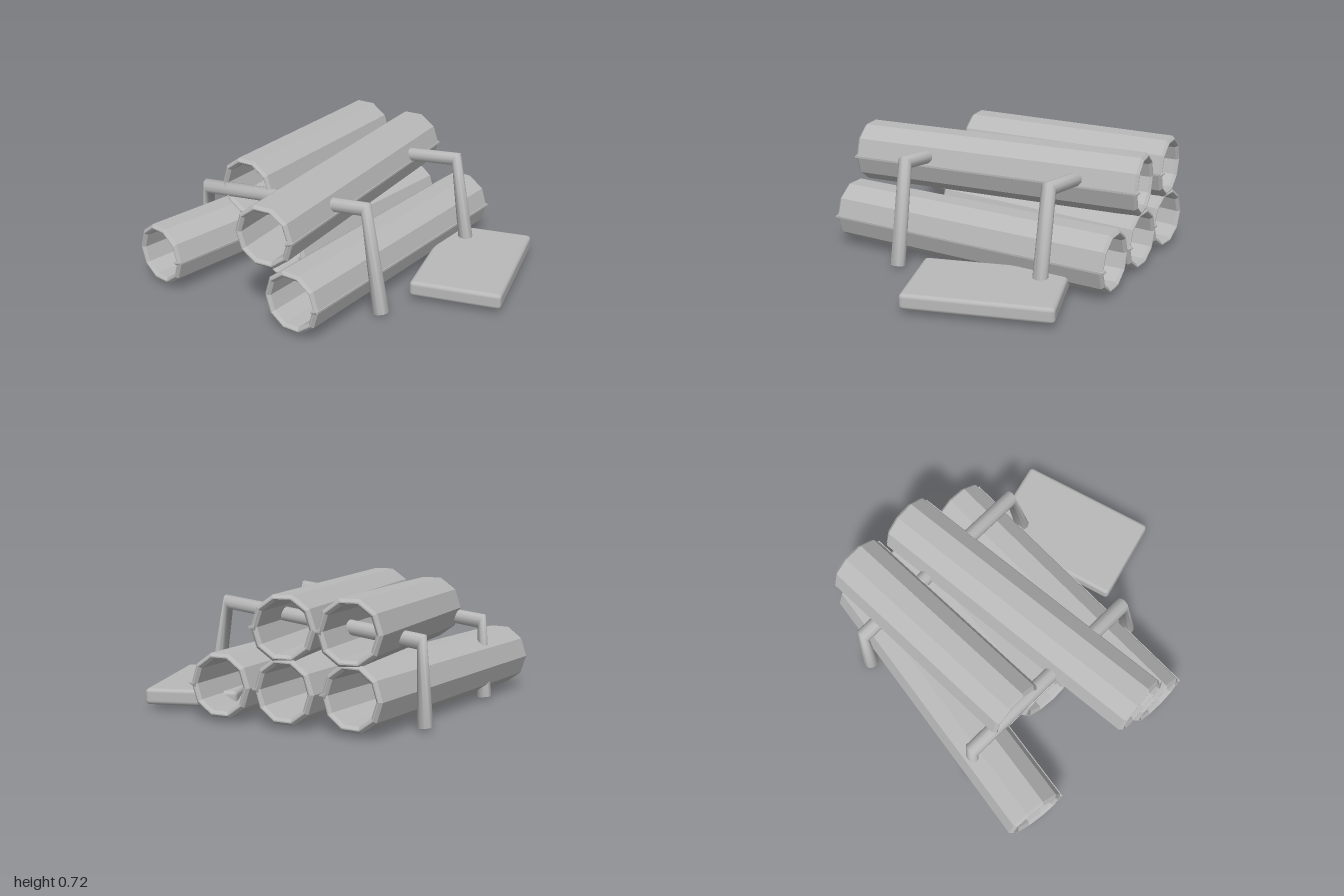
import * as THREE from 'three';
import { RoundedBoxGeometry } from 'three/addons/geometries/RoundedBoxGeometry.js';

const grey = new THREE.MeshStandardMaterial({ color: 0xb8b8b8 });
grey.name = 'plain grey';

const R = 0.187; // pipe outer radius
const INNER = 0.148;
const BEVEL = 0.016;

function addMesh(parent, name, geometry) {
  const mesh = new THREE.Mesh(geometry, grey);
  mesh.name = name;
  parent.add(mesh);
  return mesh;
}

// Ten-sided hollow pipe with bevelled rims and a raised seam on its +x side
function makePipe(name, y, front, back) {
  const pipe = new THREE.Group();
  pipe.name = name;
  const dx = front[0] - back[0], dz = front[1] - back[1];
  const length = Math.hypot(dx, dz), h = length / 2;
  const profile = [
    [INNER, -h + BEVEL], [INNER + BEVEL, -h], [R - BEVEL, -h], [R, -h + BEVEL],
    [R, h - BEVEL], [R - BEVEL, h], [INNER + BEVEL, h], [INNER, h - BEVEL], [INNER, -h + BEVEL],
  ].map(([r, t]) => new THREE.Vector2(r, t));
  const wall = new THREE.LatheGeometry(profile, 10, Math.PI / 2).toNonIndexed();
  wall.rotateX(Math.PI / 2);
  wall.computeVertexNormals();
  addMesh(pipe, 'pipeWall', wall);

  addMesh(pipe, 'pipeSeam', new THREE.BoxGeometry(0.016, 0.012, length)).position.x = R - 0.004;
  // Small pointed burrs where the seam meets each rim
  for (const end of [-1, 1]) {
    const burr = new THREE.ConeGeometry(0.018, 0.045, 4);
    burr.rotateZ(-Math.PI / 2);
    addMesh(pipe, 'seamBurr', burr).position.set(R - 0.01, 0, end * (h - 0.002));
  }
  pipe.position.set((front[0] + back[0]) / 2, y, (front[1] + back[1]) / 2);
  pipe.rotation.y = Math.atan2(dx, dz);
  return pipe;
}

// Bent rod: oval sections at foot, corner, corner, foot
function rodGeometry() {
  const sections = [ // centre x, centre y, half-width vector x, y
    [-0.885, 0.02, -0.045, 0.005],
    [-0.86, 0.478, -0.02, 0.042],
    [0.335, 0.63, 0.017, 0.042],
    [0.44, 0.015, 0.048, 0.01],
  ];
  const sides = 10, positions = [], index = [];
  for (const [cx, cy, hx, hy] of sections) {
    for (let j = 0; j < sides; j++) {
      const a = (j / sides) * Math.PI * 2;
      positions.push(cx + hx * Math.cos(a), cy + hy * Math.cos(a), 0.045 * Math.sin(a));
    }
  }
  const last = sections.length - 1;
  for (let i = 0; i < last; i++) {
    for (let j = 0; j < sides; j++) {
      const k = (j + 1) % sides;
      const a = i * sides + j, b = i * sides + k, c = a + sides, d = b + sides;
      index.push(a, b, c, b, d, c);
    }
  }
  // End caps as fans
  for (let j = 1; j < sides - 1; j++) {
    const e = last * sides;
    index.push(0, j + 1, j, e, e + j, e + j + 1);
  }
  const geometry = new THREE.BufferGeometry();
  geometry.setAttribute('position', new THREE.Float32BufferAttribute(positions, 3));
  geometry.setIndex(index);
  geometry.computeVertexNormals();
  return geometry;
}

export function createModel() {
  const model = new THREE.Group();
  model.name = 'pipeStack';

  // Pipes: name, height, front end [x, z], back end [x, z]
  model.add(
    makePipe('lowerRightPipe', 0.21, [-0.82, 0.89], [-0.61, -0.9]),
    makePipe('lowerMiddlePipe', 0.21, [-0.28, 0.42], [-0.21, -0.9]),
    makePipe('lowerLeftPipe', 0.21, [0.185, 0.9], [0.185, -0.9]),
    makePipe('upperRightPipe', 0.55, [-0.53, 0.425], [-0.6, -0.905]),
    makePipe('upperLeftPipe', 0.55, [0, 0.895], [-0.21, -0.9]),
  );

  // Two bent rods straddling the stack
  const rod = rodGeometry();
  for (const [name, z] of [['frontRod', 0.4], ['backRod', -0.55]]) {
    addMesh(model, name, rod).position.z = z;
  }

  // Loose slab lying beside the stack
  const slab = addMesh(model, 'slab', new RoundedBoxGeometry(0.545, 0.095, 0.865, 2, 0.024));
  slab.position.set(0.615, 0.083, -0.315);
  slab.rotation.y = 0.296;
  return model;
}
